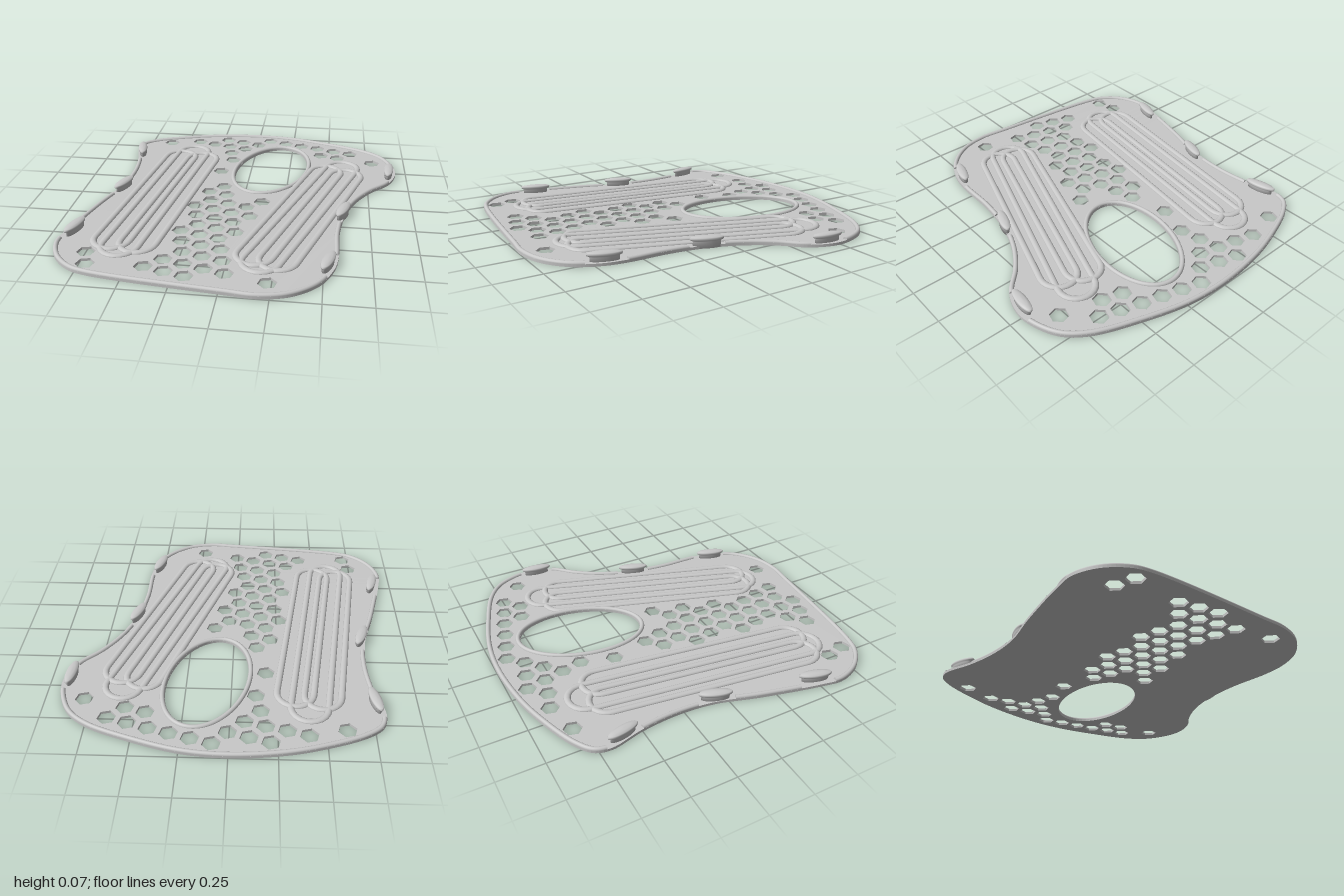
import * as THREE from 'three';

const RIB = 0.0135; // half height of every raised bead
const RIB_Y = 0.0142; // height of the bead centre lines
const PLATE = 0.015; // thickness of the flat sheet

// outer contour, clockwise seen from above (x, z)
const OUTLINE = [
  [-0.82, -0.69], [-0.797, -0.775], [-0.71, -0.842], [-0.5, -0.922], [-0.29, -0.974], [0, -1], [0.24, -0.98],
  [0.505, -0.907], [0.745, -0.812], [0.86, -0.717], [0.922, -0.58], [0.932, -0.46], [0.88, -0.32], [0.77, -0.2],
  [0.677, -0.055], [0.613, 0.12], [0.58, 0.345], [0.577, 0.58], [0.555, 0.715], [0.483, 0.857], [0.347, 0.963],
  [0.19, 0.999], [0.03, 0.986], [-0.685, 0.904], [-0.79, 0.866], [-0.89, 0.77], [-0.942, 0.635], [-0.925, 0.5],
  [-0.845, 0.16], [-0.775, -0.08], [-0.757, -0.29], [-0.777, -0.5],
];

// edge studs: x, z and direction of the long axis (dx, dz)
const STUDS = [
  [-0.769, -0.605, 8, 36], [-0.75, -0.06, -12, 34], [-0.873, 0.495, -10, 35],
  [0.886, -0.445, -4, 36], [0.597, 0.13, -12, 34], [0.522, 0.688, -10, 33],
];

// rib loops: end centres (x, z) to (x, z)
const LOOPS = [
  [-0.42, -0.65, -0.585, 0.63], [-0.495, -0.56, -0.643, 0.566], [-0.347, -0.54, -0.495, 0.587],
  [0.59, -0.508, 0.177, 0.693], [0.484, -0.43, 0.14, 0.63], [0.61, -0.385, 0.265, 0.665],
];

// vent rows on a skewed honeycomb: first x, first z, count
const VENTS = [
  [-0.606, -0.804, 1], [-0.41, -0.847, 2], [-0.214, -0.9, 3], [-0.188, -0.788, 1], [-0.161, -0.677, 1],
  [-0.077, -0.757, 1], [-0.135, -0.561, 1], [-0.188, -0.376, 1], [0.087, -0.915, 4], [0.447, -0.704, 2],
  [0.532, -0.783, 2], [0.786, -0.614, 1], [-0.135, -0.153, 1], [-0.214, -0.074, 2], [0.119, 0.026, 1],
  [-0.188, 0.037, 3], [-0.267, 0.116, 4], [-0.241, 0.228, 3], [-0.214, 0.339, 3], [-0.294, 0.418, 3],
  [-0.267, 0.529, 3], [-0.241, 0.64, 3], [-0.325, 0.725, 4], [-0.41, 0.804, 3],
  [-0.743, 0.704, 1], [-0.712, 0.815, 1], [0.23, 0.878, 1],
];

export function createModel() {
  const model = new THREE.Group();
  const grey = new THREE.MeshStandardMaterial({ color: 0xc8c8c8, side: THREE.DoubleSide });
  grey.name = 'grey plastic';

  const add = (geometry, name) => {
    const mesh = new THREE.Mesh(geometry, grey);
    mesh.name = name;
    model.add(mesh);
    return mesh;
  };
  const at = (x, z) => new THREE.Vector3(x, 0, z);
  const flat = (p) => new THREE.Vector2(p.x, -p.z);
  // tube along a path, flattened to the common bead height
  const bead = (pts, closed, name, halfWidth = RIB) => {
    const curve = new THREE.CatmullRomCurve3(pts, closed);
    const tube = new THREE.TubeGeometry(curve, pts.length * 2, halfWidth, 12, closed);
    tube.scale(1, RIB / halfWidth, 1);
    add(tube, name).position.y = RIB_Y;
  };

  // contour of the sheet, and centre line of the border bead inset from it
  const outer = new THREE.CatmullRomCurve3(OUTLINE.map(([x, z]) => at(x, z)), true);
  const N = 320;
  const contour = [], edge = [];
  for (let i = 0; i < N; i++) {
    const p = outer.getPointAt(i / N), t = outer.getTangentAt(i / N);
    contour.push(p);
    edge.push(at(p.x - t.z * RIB, p.z + t.x * RIB));
  }

  // tilted oval with the given half axes
  const oval = (a, b) => {
    const pts = [], tilt = 0.25;
    for (let i = 0; i < 64; i++) {
      const w = (i / 64) * Math.PI * 2, u = a * Math.cos(w), v = b * Math.sin(w);
      pts.push(at(0.135 + u * Math.cos(tilt) - v * Math.sin(tilt), -0.445 + u * Math.sin(tilt) + v * Math.cos(tilt)));
    }
    return pts;
  };

  // flat sheet with oval and hexagonal openings
  const sheet = new THREE.Shape(contour.map(flat));
  sheet.holes.push(new THREE.Path(oval(0.214, 0.355).map(flat)));
  for (const [x0, z0, count] of VENTS) {
    for (let i = 0; i < count; i++) {
      const hex = [];
      for (let k = 0; k < 6; k++) {
        const a = 0.8 + (k * Math.PI) / 3;
        hex.push(new THREE.Vector2(x0 + i * 0.111 + 0.051 * Math.cos(a), -(z0 + i * 0.032 + 0.051 * Math.sin(a))));
      }
      sheet.holes.push(new THREE.Path(hex));
    }
  }
  const plate = new THREE.ExtrudeGeometry(sheet, { depth: PLATE, bevelEnabled: false });
  plate.rotateX(-Math.PI / 2);
  add(plate, 'plate');

  bead(oval(0.2275, 0.3685), true, 'ovalRim');

  // border bead, interrupted at every stud
  const free = edge.map((p) => STUDS.every(([x, z]) => Math.hypot(p.x - x, p.z - z) > 0.102));
  const start = free.indexOf(false);
  let run = [];
  for (let i = 0; i <= N; i++) {
    const j = (start + i) % N;
    if (free[j]) {
      run.push(edge[j]);
    } else if (run.length > 1) {
      bead(run, false, 'borderRim');
      const n = run.length;
      for (const [end, next] of [[run[0], run[1]], [run[n - 1], run[n - 2]]]) {
        const cap = add(new THREE.CircleGeometry(RIB, 12), 'rimEnd');
        cap.lookAt(end.clone().sub(next));
        cap.position.set(end.x, RIB_Y, end.z);
      }
      run = [];
    }
  }

  // overlapping rounded rib loops
  for (const [x1, z1, x2, z2] of LOOPS) {
    const pts = [];
    const dir = Math.atan2(z2 - z1, x2 - x1), R = 0.1;
    for (const [cx, cz, tx, tz, a0] of [[x2, z2, x1, z1, dir - Math.PI / 2], [x1, z1, x2, z2, dir + Math.PI / 2]]) {
      for (let k = 0; k <= 14; k++) {
        const a = a0 + (k / 14) * Math.PI;
        pts.push(at(cx + R * Math.cos(a), cz + R * Math.sin(a)));
      }
      // straight side towards the other end
      const last = pts[pts.length - 1];
      for (let k = 1; k < 14; k++) pts.push(at(last.x + ((tx - cx) * k) / 14, last.z + ((tz - cz) * k) / 14));
    }
    bead(pts, true, 'ribLoop', 0.019);
  }

  // oval studs: stem under a slightly wider, softly domed cap
  const profile = [[0, 0.002], [0.82, 0.002], [0.82, 0.038], [0.97, 0.045], [1, 0.053], [0.93, 0.06], [0.5, 0.065], [0, 0.066]]
    .map(([r, y]) => new THREE.Vector2(r, y));
  const studGeometry = new THREE.LatheGeometry(profile, 32);
  for (const [x, z, dx, dz] of STUDS) {
    const stud = add(studGeometry, 'edgeStud');
    stud.scale.set(0.029, 1, 0.093);
    stud.position.set(x, 0, z);
    stud.rotation.y = Math.atan2(dx, dz);
  }
  return model;
}
